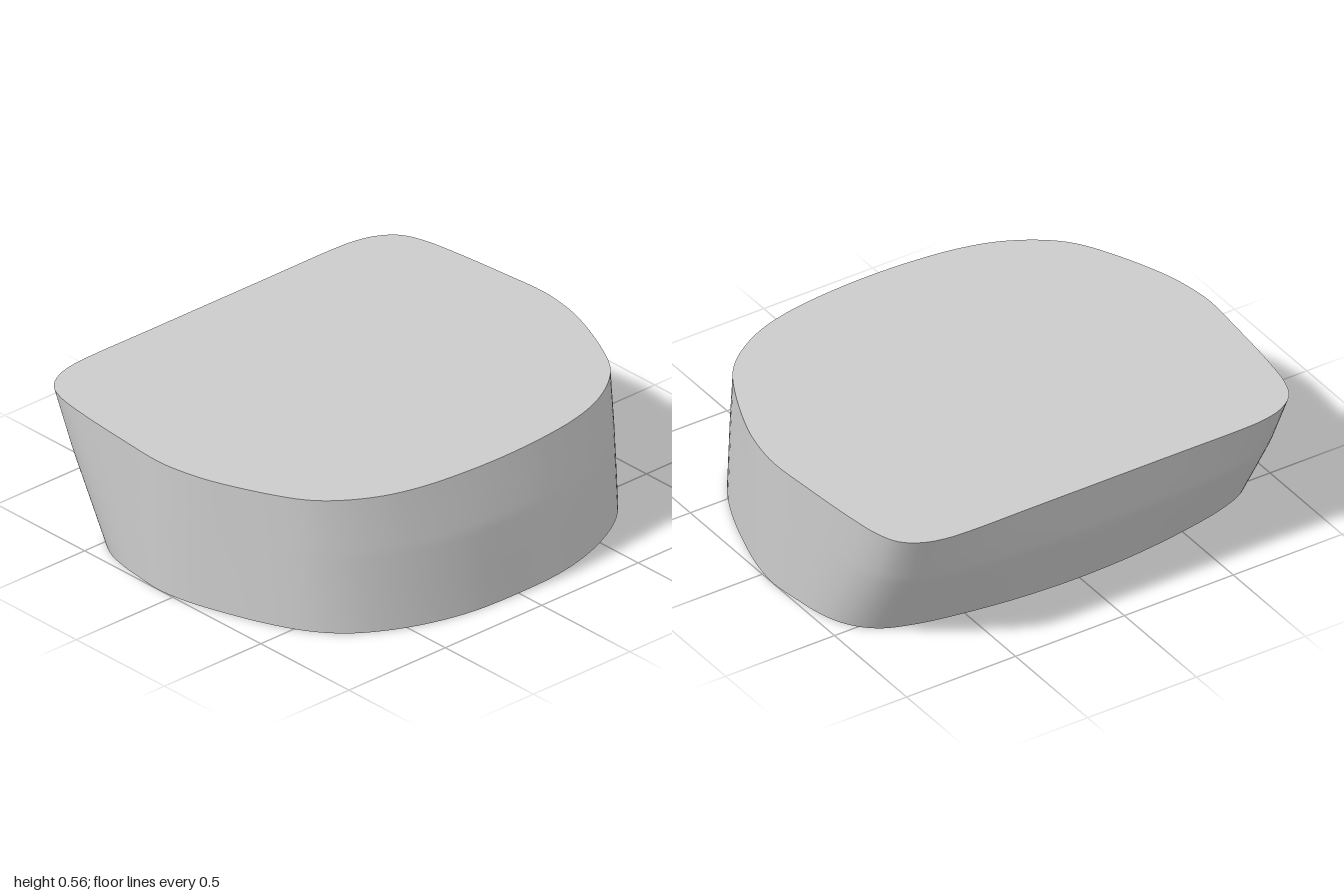
import * as THREE from 'three';

const HEIGHT = 0.56;

// Matching half outlines [topX, topZ, bottomX, bottomZ], from the round side to the flat side
const HALF = [
  [0.78, 0, 0.87, 0], [0.77, 0.22, 0.86, 0.22], [0.745, 0.4, 0.82, 0.4],
  [0.7, 0.55, 0.76, 0.55], [0.62, 0.69, 0.68, 0.68], [0.53, 0.785, 0.57, 0.785],
  [0.38, 0.87, 0.4, 0.875], [0.17, 0.955, 0.17, 0.955], [0.05, 0.985, 0.05, 0.985],
  [-0.08, 1, -0.08, 1], [-0.3, 0.985, -0.22, 0.985], [-0.55, 0.96, -0.32, 0.97],
  [-0.7, 0.935, -0.42, 0.94], [-0.79, 0.895, -0.5, 0.89], [-0.845, 0.82, -0.56, 0.82],
  [-0.87, 0.73, -0.6, 0.72], [-0.877, 0.64, -0.63, 0.6], [-0.877, 0.33, -0.675, 0.3],
  [-0.877, 0, -0.69, 0],
];

// Mirrors a half outline in z and smooths it into a closed loop
function outline(xi, zi, steps) {
  const half = HALF.map((p) => new THREE.Vector3(p[xi], 0, p[zi]));
  const mirrored = half.slice(1, -1).reverse().map((p) => new THREE.Vector3(p.x, 0, -p.z));
  const curve = new THREE.CatmullRomCurve3([...half, ...mirrored], true);
  return Array.from({ length: steps }, (_, i) => curve.getPoint(i / steps));
}

function mesh(name, positions, index, material) {
  const geometry = new THREE.BufferGeometry();
  geometry.setAttribute('position', new THREE.Float32BufferAttribute(positions, 3));
  geometry.setIndex(index);
  geometry.computeVertexNormals();
  const part = new THREE.Mesh(geometry, material);
  part.name = name;
  return part;
}

export function createModel() {
  const group = new THREE.Group();
  group.name = 'taperedBlock';
  const material = new THREE.MeshStandardMaterial({ color: 0xcccccc });
  const steps = 36 * 4;
  const top = outline(0, 1, steps);
  const bottom = outline(2, 3, steps);

  // Side wall: loft with an outward bend where the wall leans most
  const levels = [0, 0.3, 0.55, 0.63, 0.8, 1];
  const positions = [];
  const index = [];
  levels.forEach((t, row) => {
    const bend = t < 0.59 ? t / 0.59 : (1 - t) / 0.41;
    for (let i = 0; i < steps; i++) {
      const p = bottom[i].clone().lerp(top[i], t);
      const lean = Math.abs(top[i].x - bottom[i].x);
      p.x += Math.sign(p.x) * 0.22 * lean * bend * Math.max(0, 1 - p.z * p.z);
      positions.push(p.x, t * HEIGHT, p.z);
      if (row === 0) continue;
      const j = (i + 1) % steps;
      const a = (row - 1) * steps, b = row * steps;
      index.push(a + i, b + i, b + j, a + i, b + j, a + j);
    }
  });
  group.add(mesh('sideWall', positions, index, material));

  // Flat caps as fans around the centre
  const cap = (name, loop, y, up) => {
    const pos = [0, y, 0];
    const idx = [];
    loop.forEach((p, i) => {
      pos.push(p.x, y, p.z);
      const a = i + 1, b = ((i + 1) % steps) + 1;
      idx.push(0, up ? b : a, up ? a : b);
    });
    group.add(mesh(name, pos, idx, material));
  };
  cap('topFace', top, HEIGHT, true);
  cap('bottomFace', bottom, 0, false);
  return group;
}
